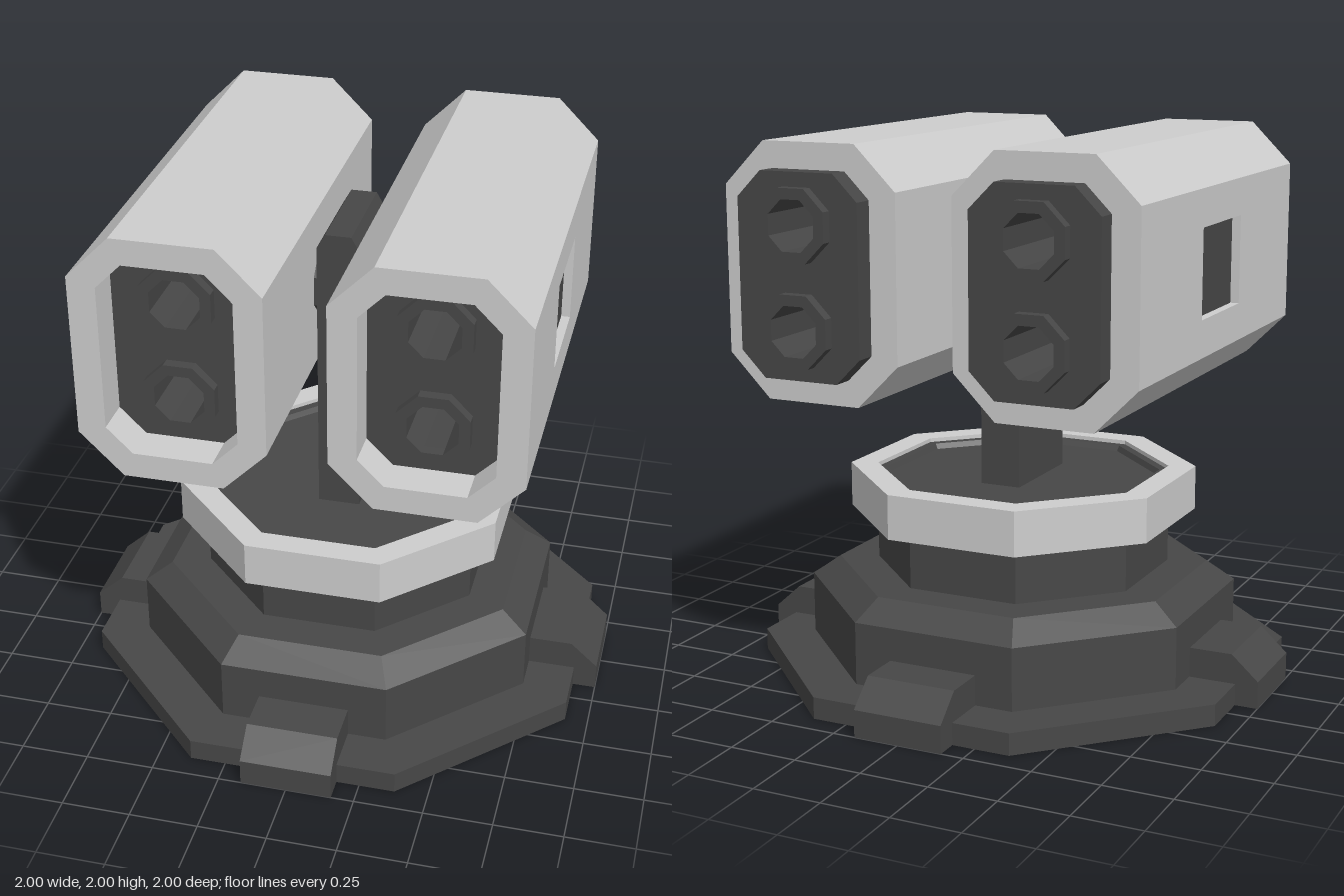
import * as THREE from 'three';

const light = new THREE.MeshStandardMaterial({ color: 0xcdcdcd });
light.name = 'light grey';
const dark = new THREE.MeshStandardMaterial({ color: 0x474747 });
dark.name = 'dark grey';

function add(parent, name, geometry, material) {
  const mesh = new THREE.Mesh(geometry, material);
  mesh.name = name;
  parent.add(mesh);
  return mesh;
}

// Eight-sided turned solid; profile gives [apothem, height] from bottom to top
function octLathe(profile) {
  const pts = profile.map(([r, y]) => new THREE.Vector2(r / Math.cos(Math.PI / 8), y));
  const geo = new THREE.LatheGeometry(pts, 8, Math.PI / 8).toNonIndexed();
  geo.computeVertexNormals();
  return geo;
}

// Corners of a rectangle with cut corners
function cutRect(hw, hh, c, cy = 0) {
  return [[hw, -hh + c], [hw, hh - c], [hw - c, hh], [-hw + c, hh],
    [-hw, hh - c], [-hw, -hh + c], [-hw + c, -hh], [hw - c, -hh]]
    .map(([x, y]) => new THREE.Vector2(x, y + cy));
}

const octagon = (a, cy) => cutRect(a, a, a * (2 - Math.SQRT2), cy);

// Extrude an outline with holes between two z positions
function slab(outline, holes, z0, z1) {
  const shape = new THREE.Shape(outline);
  holes.forEach((h) => shape.holes.push(new THREE.Path(h)));
  const geo = new THREE.ExtrudeGeometry(shape, { depth: z1 - z0, bevelEnabled: false });
  return geo.translate(0, 0, z0);
}

function createPod(side) {
  const pod = new THREE.Group();
  pod.name = side > 0 ? 'leftPod' : 'rightPod';
  const outer = cutRect(0.333, 0.45, 0.155);
  const opening = cutRect(0.233, 0.357, 0.092);
  const win = { z: 0.195, y: 0.16, depth: 0.04 };

  // Shell, with a notch in its middle section for the side window
  const notch = [[0.333, -win.y], [0.333 - win.depth, -win.y], [0.333 - win.depth, win.y], [0.333, win.y]]
    .map(([x, y]) => new THREE.Vector2(x, y));
  const notched = [outer[0], ...notch, ...outer.slice(1)]
    .map((p) => new THREE.Vector2(p.x * side, p.y));
  add(pod, 'shellFront', slab(outer, [opening], win.z, 0.77), light);
  add(pod, 'shellMiddle', slab(notched, [opening], -win.z, win.z), light);
  add(pod, 'shellBack', slab(outer, [opening], -0.77, -win.z), light);
  const pane = add(pod, 'sideWindow', new THREE.BoxGeometry(0.008, win.y * 2, win.z * 2), dark);
  pane.position.x = side * (0.333 - win.depth + 0.004);

  // Core with two through bores, set back at the front and standing out behind
  const bores = [0.18, -0.18];
  add(pod, 'core', slab(opening, bores.map((y) => octagon(0.088, y)), -0.85, 0.63), dark);
  for (const y of bores) {
    for (const [z0, z1] of [[0.63, 0.67], [-0.89, -0.85]]) {
      add(pod, 'barrelRing', slab(octagon(0.126, y), [octagon(0.088, y)], z0, z1), dark);
    }
  }
  pod.position.set(side * 0.438, 1.55, 0);
  return pod;
}

export function createModel() {
  const model = new THREE.Group();
  model.name = 'twinPodTurret';

  // Stepped base and neck
  add(model, 'basePlate', octLathe([[0, 0], [0.916, 0], [0.916, 0.08], [0, 0.08]]), dark);
  add(model, 'baseStep', octLathe([[0.742, 0.07], [0.742, 0.31], [0.645, 0.382], [0, 0.382]]), dark);
  add(model, 'neck', octLathe([[0.508, 0.37], [0.508, 0.735], [0.475, 0.735], [0.465, 0.715], [0, 0.715]]), dark);
  add(model, 'collar', octLathe([[0.506, 0.585], [0.6, 0.585], [0.6, 0.75], [0.506, 0.75], [0.506, 0.585]]), light);

  // Four feet around the base
  const foot = [[0.7, 0], [1, 0], [1, 0.1], [0.9, 0.19], [0.7, 0.19]]
    .map(([x, y]) => new THREE.Vector2(x, y));
  for (let i = 0; i < 4; i++) {
    add(model, 'foot', slab(foot, [], -0.167, 0.167), dark).rotation.y = i * Math.PI / 2;
  }

  // Mast with chamfered top edges
  const mast = [[-0.077, 0.7], [0.077, 0.7], [0.077, 1.755], [0.047, 1.808], [-0.047, 1.808], [-0.077, 1.755]]
    .map(([x, y]) => new THREE.Vector2(x, y));
  add(model, 'mast', slab(mast, [], -0.195, 0.195), dark);

  // Axle joining the pods
  const axle = add(model, 'axle', slab(octagon(0.13, 0), [], -0.12, 0.12), dark);
  axle.rotation.y = Math.PI / 2;
  axle.position.y = 1.55;

  for (const side of [1, -1]) model.add(createPod(side));
  return model;
}
